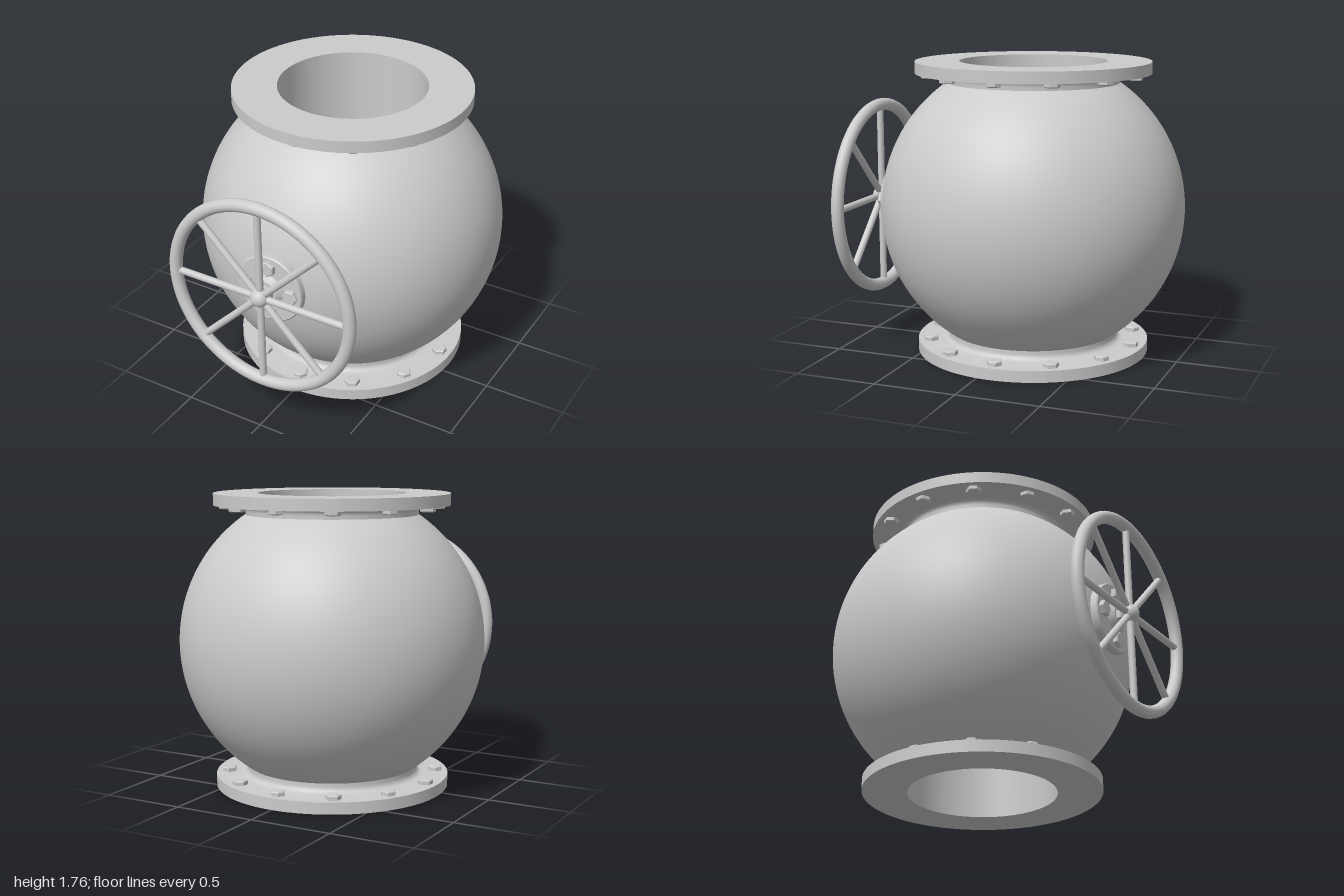
import * as THREE from 'three';
import { toCreasedNormals } from 'three/addons/utils/BufferGeometryUtils.js';

const HEIGHT = 1.765, MID = HEIGHT / 2, AXIS_Z = -0.085;
const BODY_R = 0.915, NECK_R = 0.515, BORE_R = 0.44;
const FLANGE_R = 0.705, FLANGE_T = 0.07;

const metal = new THREE.MeshStandardMaterial({ color: 0xcccccc });

function add(parent, name, geometry, x = 0, y = 0, z = 0) {
  const mesh = new THREE.Mesh(geometry, metal);
  mesh.name = name;
  mesh.position.set(x, y, z);
  parent.add(mesh);
  return mesh;
}

function lathe(points, segments = 96) {
  const profile = points.map(([r, y]) => new THREE.Vector2(r, y));
  return toCreasedNormals(new THREE.LatheGeometry(profile, segments), 0.5);
}

// Hexagonal bolt head with a slight chamfer, standing on y = 0
function hexHead(radius, height) {
  const profile = [[0, 0], [radius, 0], [radius, height * 0.8], [radius * 0.86, height], [0, height]]
    .map(([r, y]) => new THREE.Vector2(r, y));
  return toCreasedNormals(new THREE.LatheGeometry(profile, 6), 0.2);
}

function boltCircle(parent, name, count, circleR, y, radius, height, twist) {
  const geometry = hexHead(radius, height);
  for (let i = 0; i < count; i++) {
    const a = (i / count) * Math.PI * 2;
    const bolt = add(parent, name, geometry, Math.sin(a) * circleR, y, Math.cos(a) * circleR);
    bolt.rotation.y = a + twist;
  }
}

// Spherical shell with a straight bore, necks and end flanges in one profile
function bodyGeometry() {
  const lower = [[BORE_R, 0], [FLANGE_R, 0], [FLANGE_R, FLANGE_T]];
  // fillet from flange to neck
  const f = 0.035;
  for (let i = 0; i <= 6; i++) {
    const a = (i / 6) * Math.PI / 2;
    lower.push([NECK_R + f * (1 - Math.sin(a)), FLANGE_T + f * (1 - Math.cos(a))]);
  }
  const upper = lower.map(([r, y]) => [r, HEIGHT - y]).reverse();
  const end = Math.acos(NECK_R / BODY_R);
  const sphere = [];
  for (let i = 0; i <= 48; i++) {
    const a = -end + (2 * end * i) / 48;
    sphere.push([BODY_R * Math.cos(a), MID + BODY_R * Math.sin(a)]);
  }
  return lathe([...lower, ...sphere, ...upper, [BORE_R, 0]], 128);
}

export function createModel() {
  const model = new THREE.Group();
  model.name = 'valve';

  const body = new THREE.Group();
  body.name = 'body';
  body.position.z = AXIS_Z;
  model.add(body);
  add(body, 'shell', bodyGeometry());

  // Flange bolts: bottom ring, and the same ring turned over for the top
  for (const top of [false, true]) {
    const ring = new THREE.Group();
    ring.name = top ? 'topFlangeBolts' : 'bottomFlangeBolts';
    if (top) {
      ring.position.y = HEIGHT;
      ring.rotation.x = Math.PI;
    }
    boltCircle(ring, 'flangeBolt', 12, 0.63, FLANGE_T, 0.046, 0.027, Math.PI / 6 * 3);
    body.add(ring);
  }

  // Bonnet and stem: local y points out of the front
  const bonnet = new THREE.Group();
  bonnet.name = 'bonnet';
  bonnet.position.y = MID;
  bonnet.rotation.x = Math.PI / 2;
  model.add(bonnet);
  add(bonnet, 'bonnetFlange', lathe([[0, 0.76], [0.21, 0.76], [0.21, 0.842], [0.203, 0.85], [0, 0.85]], 64));
  boltCircle(bonnet, 'bonnetBolt', 4, 0.145, 0.85, 0.048, 0.028, 0);
  add(bonnet, 'gland', lathe([[0, 0.84], [0.095, 0.84], [0.09, 0.855], [0.06, 0.878], [0, 0.878]], 48));
  add(bonnet, 'stemNut', hexHead(0.05, 0.04), 0, 0.87, 0);
  add(bonnet, 'stem', new THREE.CylinderGeometry(0.032, 0.032, 0.11, 32), 0, 0.895, 0);

  // Handwheel
  const wheel = new THREE.Group();
  wheel.name = 'handwheel';
  wheel.position.set(0, MID, 0.943);
  model.add(wheel);
  add(wheel, 'rim', new THREE.TorusGeometry(0.575, 0.038, 20, 96));
  add(wheel, 'hub', new THREE.SphereGeometry(0.056, 32, 20));
  const spoke = new THREE.CylinderGeometry(0.021, 0.021, 0.56, 20, 1, true);
  for (let i = 0; i < 8; i++) {
    const a = (i * Math.PI) / 4;
    const mesh = add(wheel, 'spoke', spoke, -Math.sin(a) * 0.28, Math.cos(a) * 0.28, 0);
    mesh.rotation.z = a;
  }
  return model;
}
